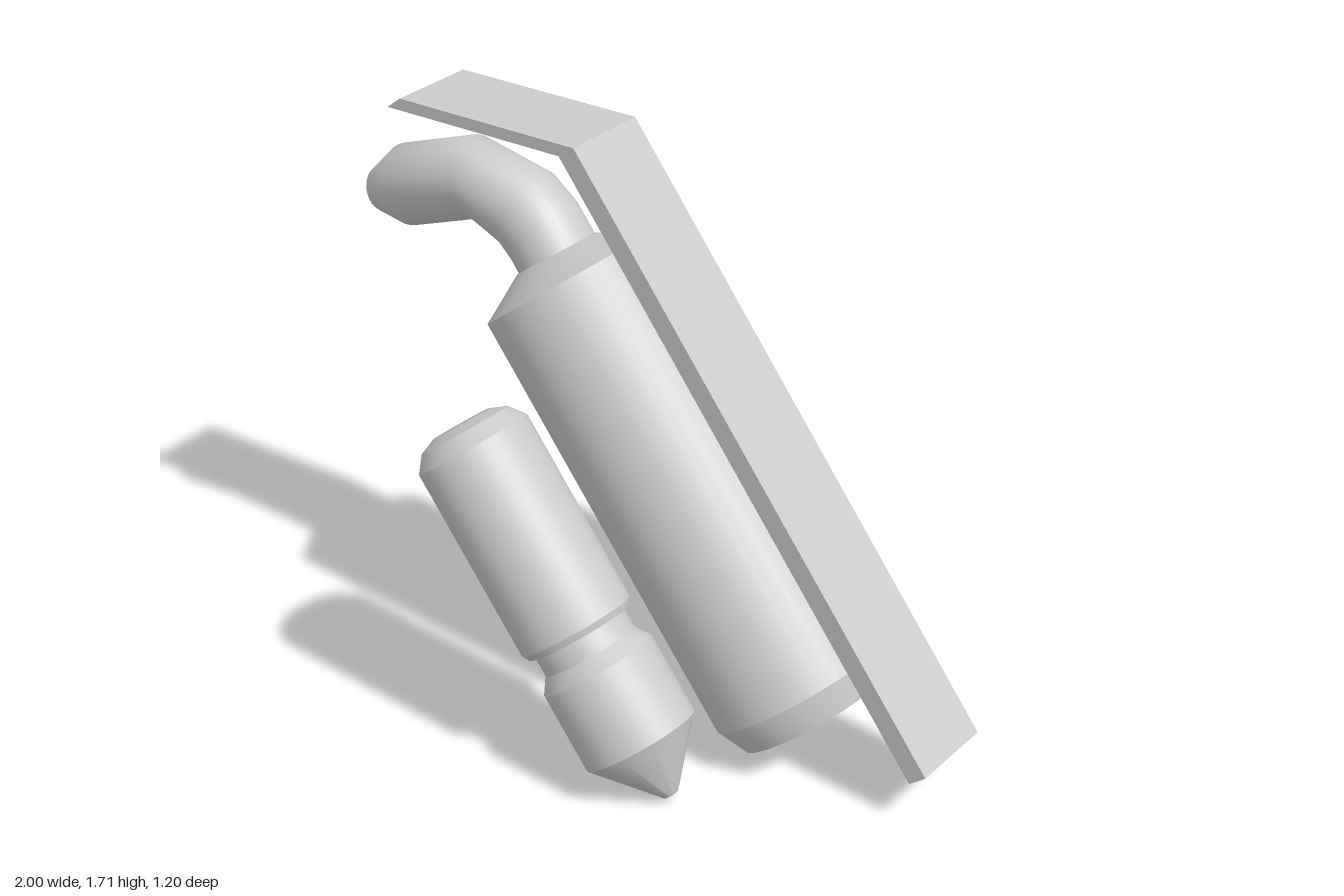
import * as THREE from 'three';
import { toCreasedNormals } from 'three/addons/utils/BufferGeometryUtils.js';

const TILT = 0.65; // lean of all tanks towards -x
const SIDES = 32;
const material = new THREE.MeshStandardMaterial({ color: 0xcccccc });

function addMesh(parent, name, geometry, crease = 0.35) {
  const mesh = new THREE.Mesh(toCreasedNormals(geometry, crease), material);
  mesh.name = name;
  parent.add(mesh);
  return mesh;
}

// Turned body from [radius, height] pairs, listed bottom to top
function turned(profile) {
  return new THREE.LatheGeometry(profile.map(([r, y]) => new THREE.Vector2(r, y)), SIDES);
}

// Round pipe in the xy plane from rings [x, y, heading in degrees, radius]
function pipe(rings) {
  const positions = [], index = [];
  for (const [x, y, heading, r] of rings) {
    const h = THREE.MathUtils.degToRad(heading - 90);
    for (let i = 0; i < SIDES; i++) {
      const a = (i / SIDES) * Math.PI * 2;
      const u = r * Math.cos(a);
      positions.push(x + u * Math.cos(h), y + u * Math.sin(h), r * Math.sin(a));
    }
  }
  for (let k = 0; k < rings.length - 1; k++) {
    for (let i = 0; i < SIDES; i++) {
      const j = (i + 1) % SIDES;
      const a = k * SIDES + i, b = k * SIDES + j, c = a + SIDES, d = b + SIDES;
      index.push(a, c, b, b, c, d);
    }
  }
  // Flat cap on the far end
  const last = rings[rings.length - 1], base = (rings.length - 1) * SIDES;
  positions.push(last[0], last[1], 0);
  for (let i = 0; i < SIDES; i++) {
    index.push(base + SIDES, base + ((i + 1) % SIDES), base + i);
  }
  const geometry = new THREE.BufferGeometry();
  geometry.setAttribute('position', new THREE.Float32BufferAttribute(positions, 3));
  geometry.setIndex(index);
  geometry.computeVertexNormals();
  return geometry;
}

export function createModel() {
  const model = new THREE.Group();
  model.name = 'tankPack';

  // Large central tank with a chamfered base and a conical shoulder
  const tank = addMesh(model, 'mainTank', turned([
    [0, 0], [0.218, 0], [0.26, 0.087], [0.26, 1.4], [0.12, 1.48], [0, 1.48],
  ]));
  tank.position.set(0.548, 0.137, 0);
  tank.rotation.z = TILT;

  // Bent outlet pipe with a tapered nozzle
  addMesh(model, 'outletPipe', pipe([
    [-0.335, 1.31, 127, 0.12],
    [-0.383, 1.375, 144, 0.122],
    [-0.445, 1.428, 158, 0.122],
    [-0.617, 1.48, 195, 0.118],
    [-0.87, 1.393, 200, 0.119],
    [-0.975, 1.352, 202, 0.067],
  ]), 0.6);

  // Pair of side tanks: domed top, grooved waist, pointed base
  for (const side of [1, -1]) {
    const bottle = addMesh(model, side > 0 ? 'frontSideTank' : 'backSideTank', turned([
      [0, -0.537], [0.022, -0.537], [0.17, -0.364], [0.17, -0.125], [0.14, -0.08],
      [0.14, -0.02], [0.158, -0.02], [0.17, 0], [0.17, 0.572], [0.135, 0.618],
      [0.086, 0.638], [0, 0.638],
    ]));
    bottle.position.set(0.042, 0.457, side * 0.43);
    bottle.rotation.z = TILT;
  }

  // Bent flat strip running along the back of the tank and over the pipe
  const outline = new THREE.Shape([
    [-0.82, 1.685], [-0.22, 1.685], [0.95, 0.14], [1, 0.178], [-0.17, 1.72], [-0.775, 1.72],
  ].map(([x, y]) => new THREE.Vector2(x, y)));
  const strip = new THREE.ExtrudeGeometry(outline, { depth: 0.276, bevelEnabled: false });
  strip.translate(0, 0, -0.138);
  addMesh(model, 'coverStrip', strip);

  return model;
}
